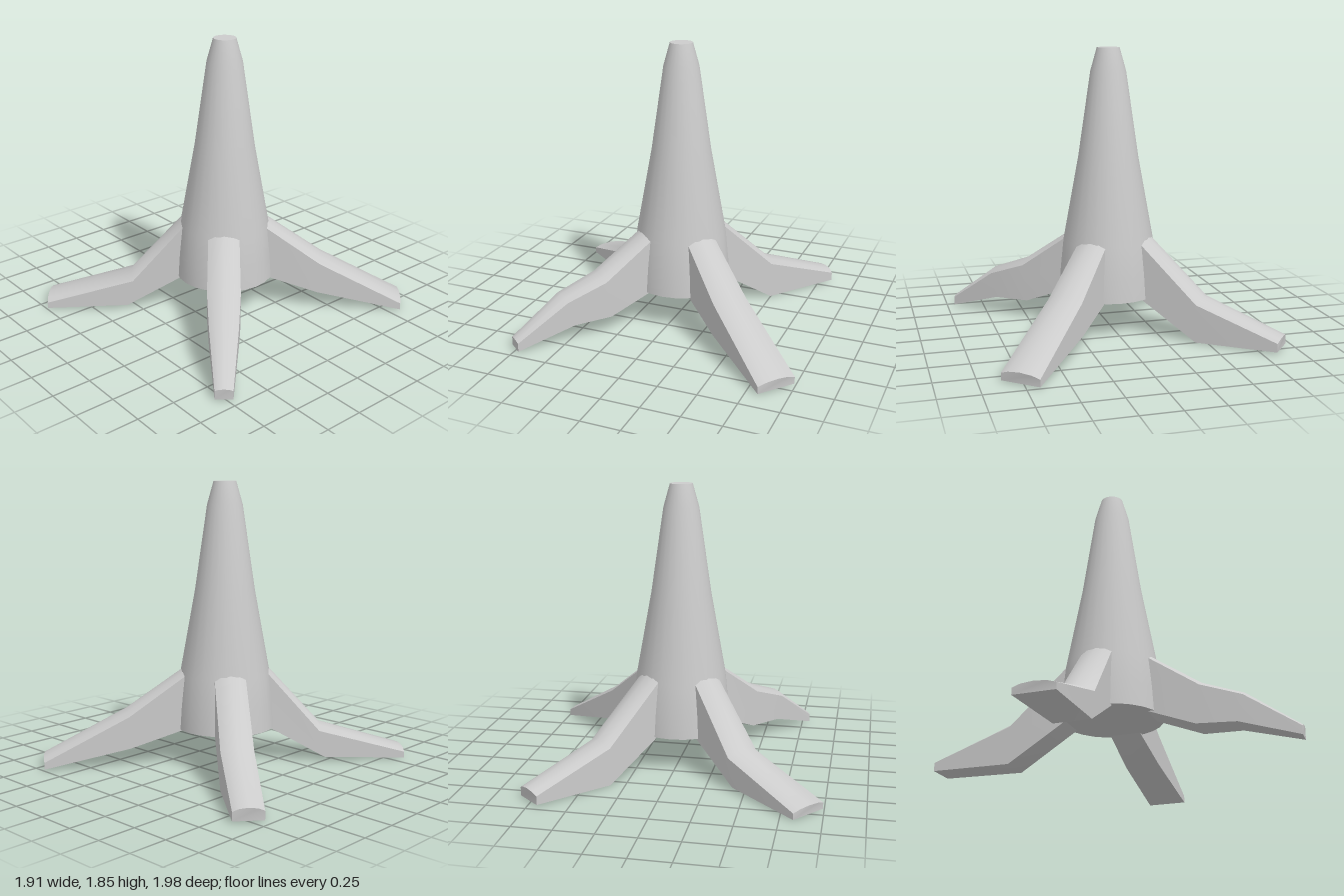
import * as THREE from 'three';
import { toCreasedNormals } from 'three/addons/utils/BufferGeometryUtils.js';

const material = new THREE.MeshStandardMaterial({ color: 0xcccccc });

// Root along +x: flat underside, straight sides, domed top.
// Each station: [r at top, top edge y, r at bottom, bottom y, half width, dome height]
function rootGeometry(stations) {
  const positions = [], index = [], n = 7;
  for (const [rt, yt, rb, yb, w, dome] of stations) {
    positions.push(rb, yb, w);
    for (const [side, lift] of [[1, 0], [0.6, 0.7], [0, 1], [-0.6, 0.7], [-1, 0]]) {
      positions.push(rt + lift * dome * 0.4, yt + lift * dome, side * w);
    }
    positions.push(rb, yb, -w);
  }
  const last = (stations.length - 1) * n;
  for (let i = 0; i < last; i += n) {
    for (let j = 0; j < n; j++) {
      const a = i + j, b = i + (j + 1) % n;
      index.push(a, a + n, b, b, a + n, b + n);
    }
  }
  // End caps
  for (let k = 1; k < n - 1; k++) {
    index.push(0, k, k + 1, last, last + k + 1, last + k);
  }
  const geometry = new THREE.BufferGeometry();
  geometry.setAttribute('position', new THREE.Float32BufferAttribute(positions, 3));
  geometry.setIndex(index);
  return toCreasedNormals(geometry, 0.85);
}

export function createModel() {
  const group = new THREE.Group();

  // Tapering trunk with a cut top and flat base
  const profile = [
    [0, 0.245], [0.325, 0.245], [0.315, 0.4], [0.295, 0.6],
    [0.195, 1.15], [0.115, 1.7], [0.073, 1.85], [0, 1.85],
  ].map(([r, y]) => new THREE.Vector2(r, y));
  const trunk = new THREE.Mesh(toCreasedNormals(new THREE.LatheGeometry(profile, 24), 0.85), material);
  trunk.name = 'trunk';
  trunk.position.x = 0.008;
  group.add(trunk);

  // Four spreading roots, each with its own bend; tip is [x, z]
  const start = [0.26, 0.61, 0.26, 0.25, 0.1, 0.03];
  const roots = [
    { name: 'backLeftRoot', tip: [0.78, -0.92], stations: [start,
      [0.64, 0.34, 0.63, 0.13, 0.115, 0.035], [1.19, 0.055, 1.19, 0.01, 0.128, 0.025]] },
    { name: 'backRightRoot', tip: [-0.912, -0.772], stations: [start,
      [0.65, 0.25, 0.65, 0.005, 0.103, 0.035], [1.18, 0.07, 1.18, 0.015, 0.093, 0.025]] },
    { name: 'frontRightRoot', tip: [-0.765, 0.913], stations: [start,
      [0.61, 0.21, 0.65, 0.03, 0.118, 0.04], [1.19, 0.05, 1.19, 0.01, 0.126, 0.02]] },
    { name: 'frontLeftRoot', tip: [0.925, 0.768], stations: [start,
      [0.6, 0.375, 0.57, 0.13, 0.105, 0.035], [0.86, 0.285, 0.82, 0.12, 0.09, 0.03],
      [1.19, 0.065, 1.19, 0.01, 0.055, 0.015]] },
  ];
  for (const { name, tip, stations } of roots) {
    const root = new THREE.Mesh(rootGeometry(stations), material);
    root.name = name;
    root.rotation.y = Math.atan2(-tip[1], tip[0]);
    group.add(root);
  }
  return group;
}
